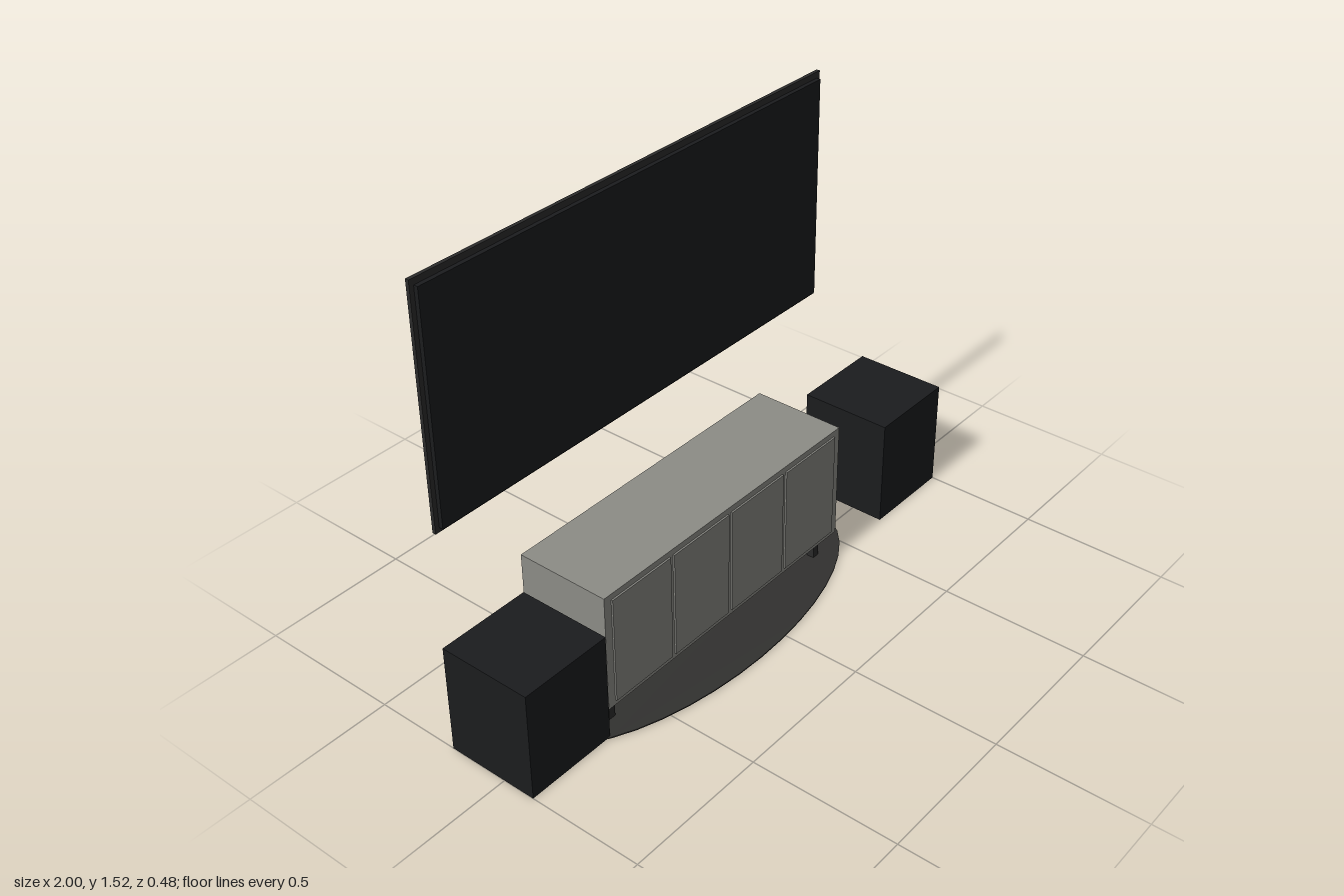
import * as THREE from 'three';

const material = (color) => new THREE.MeshStandardMaterial({ color, flatShading: true });

// Box given by its min and max corners
function box(name, mat, [x0, y0, z0], [x1, y1, z1]) {
  const mesh = new THREE.Mesh(new THREE.BoxGeometry(x1 - x0, y1 - y0, z1 - z0), mat);
  mesh.position.set((x0 + x1) / 2, (y0 + y1) / 2, (z0 + z1) / 2);
  mesh.name = name;
  return mesh;
}

export function createModel() {
  const model = new THREE.Group();
  model.name = 'mediaWall';
  const black = material(0x1b1c1e);
  const charcoal = material(0x2b2b2b);
  const grey = material(0x8c8c86);
  const doorGrey = material(0x858580);
  const rugMat = material(0x32312f);

  // Wall screen: back frame and slightly smaller panel
  const screen = new THREE.Group();
  screen.name = 'screen';
  screen.add(
    box('screenFrame', charcoal, [-0.965, 0.74, -0.238], [0.725, 1.52, -0.226]),
    box('screenPanel', black, [-0.95, 0.755, -0.226], [0.71, 1.5, -0.212])
  );
  model.add(screen);

  // Cabinet with four doors standing proud of the front
  const cabinet = new THREE.Group();
  cabinet.name = 'cabinet';
  cabinet.add(box('cabinetBody', grey, [-0.67, 0.092, -0.217], [0.432, 0.5, 0.103]));
  for (let i = 0; i < 4; i++) {
    const x = -0.119 + (i - 1.5) * 0.265;
    cabinet.add(box('door', doorGrey, [x - 0.125, 0.11, 0.1], [x + 0.125, 0.48, 0.109]));
  }
  // Four square legs
  for (const x of [-0.618, 0.379]) {
    for (const z of [-0.165, 0.053]) {
      cabinet.add(box('leg', charcoal, [x - 0.0125, 0, z - 0.0125], [x + 0.0125, 0.095, z + 0.0125]));
    }
  }
  model.add(cabinet);

  // Floor speakers on both sides
  for (const side of [-1, 1]) {
    model.add(box('speaker', black,
      [side * 0.84 - 0.16, 0, -0.207], [side * 0.84 + 0.16, 0.375, 0.112]));
  }

  // Rug: an ellipse cut straight along the wall
  const cut = Math.asin(0.16 / 0.305);
  const outline = [];
  for (let i = 0; i <= 28; i++) {
    const a = -cut + (i / 28) * (Math.PI + 2 * cut);
    outline.push(new THREE.Vector2(-0.125 + 0.705 * Math.cos(a), 0.067 - 0.305 * Math.sin(a)));
  }
  const rugGeometry = new THREE.ExtrudeGeometry(new THREE.Shape(outline), { depth: 0.004, bevelEnabled: false });
  rugGeometry.rotateX(-Math.PI / 2);
  const rug = new THREE.Mesh(rugGeometry, rugMat);
  rug.name = 'rug';
  model.add(rug);

  return model;
}
